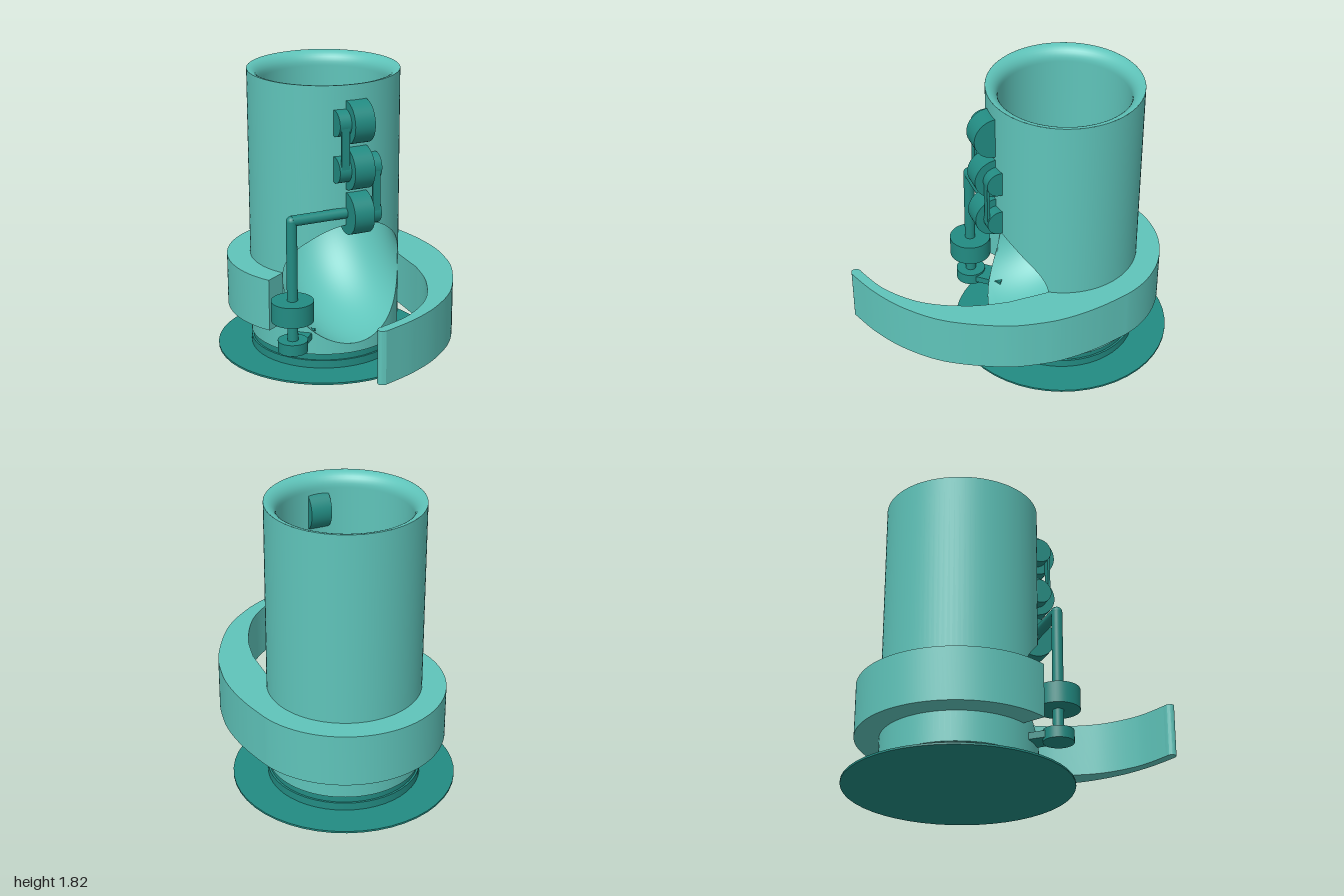
import * as THREE from 'three';
import { toCreasedNormals } from 'three/addons/utils/BufferGeometryUtils.js';
import { ParametricGeometry } from 'three/addons/geometries/ParametricGeometry.js';

const light = new THREE.MeshStandardMaterial({ color: 0x5fc4ba, side: THREE.DoubleSide });
const dark = new THREE.MeshStandardMaterial({ color: 0x228b82 });

const AXIS_Z = -0.315;          // vertical axis of the tube
const R = 0.47, BORE = 0.395;   // outer and bore radius
const TOP = 1.815, BOTTOM = 0.105;
const BEND_Y = 0.955, BEND_Z = 0.08; // pivot of the inner elbow

export function createModel() {
  const model = new THREE.Group();

  const add = (name, geo, mat, x = 0, y = 0, z = 0, parent = model) => {
    const mesh = new THREE.Mesh(geo, mat);
    mesh.name = name;
    mesh.position.set(x, y, z);
    parent.add(mesh);
    return mesh;
  };
  const diskY = (name, r, y0, y1, x, z, mat = dark, parent = model) =>
    add(name, new THREE.CylinderGeometry(r, r, y1 - y0, 48), mat, x, (y0 + y1) / 2, z, parent);
  const diskX = (name, r, x0, x1, y, z, parent = model) =>
    add(name, new THREE.CylinderGeometry(r, r, x1 - x0, 40).rotateZ(Math.PI / 2), dark, (x0 + x1) / 2, y, z, parent);

  // Rim of the front mouth, where the elbow meets the outer wall
  const mouth = (phi) => {
    const x = BORE * Math.cos(phi);
    const rho = BORE * (1 - Math.sin(phi));
    const z = AXIS_Z + Math.sqrt(R * R - x * x);
    const bend = z < BEND_Z ? Math.asin(Math.min(1, (BEND_Z - z) / Math.max(rho, 1e-6))) : 0;
    return { x, z, rho, bend, y: BEND_Y - rho * Math.cos(bend) };
  };

  // Outer wall: back, above the mouth, below the mouth
  const tube = new THREE.Group();
  tube.name = 'tube';
  model.add(tube);
  const edge = Math.asin(BORE / R);
  add('backWall', new ParametricGeometry((u, v, p) => {
    const a = edge + u * (2 * Math.PI - 2 * edge);
    p.set(R * Math.sin(a), BOTTOM + v * (TOP - BOTTOM), AXIS_Z + R * Math.cos(a));
  }, 64, 1), light, 0, 0, 0, tube);
  add('wallAboveMouth', new ParametricGeometry((u, v, p) => {
    const m = mouth(Math.PI * (1 - u));
    p.set(m.x, m.y + v * (TOP - m.y), m.z);
  }, 64, 1), light, 0, 0, 0, tube);
  add('wallBelowMouth', new ParametricGeometry((u, v, p) => {
    const m = mouth(Math.PI * (1 + u));
    p.set(m.x, BOTTOM + v * (m.y - BOTTOM), m.z);
  }, 64, 1), light, 0, 0, 0, tube);

  // Elbow turning from the vertical bore out to the mouth
  add('elbow', new ParametricGeometry((u, v, p) => {
    const m = mouth(u * 2 * Math.PI);
    if (v < 0.05) { // straight outlet
      p.set(m.x, m.y, THREE.MathUtils.lerp(m.z, Math.min(m.z, BEND_Z), v / 0.05));
      return;
    }
    const a = THREE.MathUtils.lerp(m.bend, Math.PI / 2, (v - 0.05) / 0.95);
    p.set(m.x, BEND_Y - m.rho * Math.cos(a), BEND_Z - m.rho * Math.sin(a));
  }, 96, 40), light, 0, 0, 0, tube);

  // Vertical bore with a rounded lip
  const bore = [new THREE.Vector2(BORE, BEND_Y), new THREE.Vector2(BORE, TOP - 0.09)];
  for (let i = 0; i <= 8; i++) {
    const a = (i / 8) * Math.PI / 2;
    bore.push(new THREE.Vector2(R - 0.075 * Math.cos(a), TOP - 0.08 + 0.08 * Math.sin(a)));
  }
  add('boreAndLip', new THREE.LatheGeometry(bore, 72), light, 0, 0, AXIS_Z, tube);

  // Foot: grooved rings and base plate
  add('tubeBottom', new THREE.CircleGeometry(R, 64).rotateX(Math.PI / 2), light, 0, BOTTOM, AXIS_Z, tube);
  diskY('grooveRing', 0.458, 0.055, BOTTOM, 0, AXIS_Z);
  diskY('footRing', R, 0.01, 0.062, 0, AXIS_Z);
  add('basePlate', new THREE.CylinderGeometry(0.685, 0.685, 0.012, 48), dark, 0, 0.006, AXIS_Z);

  // Collar that wraps the tube and sweeps forward into a curved tail
  const pts = (list) => list.map(([x, z]) => new THREE.Vector2(x, -z));
  const collar = new THREE.Shape();
  collar.absarc(0, -AXIS_Z, 0.617, Math.PI + 0.57, 0.3, true);
  collar.splineThru(pts([[0.635, -0.3], [0.655, -0.1], [0.642, 0.08], [0.58, 0.31],
    [0.41, 0.61], [0.21, 0.8], [0, 0.92], [-0.215, 0.997]]));
  collar.splineThru(pts([[-0.245, 0.988], [-0.253, 0.965], [-0.24, 0.942], [-0.21, 0.933]]));
  collar.splineThru(pts([[0, 0.85], [0.2, 0.68], [0.335, 0.43], [0.39, 0.2]]));
  collar.lineTo(0.395, 0.06);
  collar.absarc(0, -AXIS_Z, R - 0.003, -0.573, Math.PI + 0.573, false);
  collar.closePath();
  const collarGeo = new THREE.ExtrudeGeometry(collar, { depth: 0.33, bevelEnabled: false, curveSegments: 40 });
  add('collarWithTail', toCreasedNormals(collarGeo.rotateX(-Math.PI / 2), 0.5), light, 0, 0.29, 0);

  // Wheel train on the front, linked by pulleys and belts
  const train = new THREE.Group();
  train.name = 'wheelTrain';
  model.add(train);
  const WZ = 0.15, wheelY = [1.59, 1.305, 1.023];
  wheelY.forEach((y) => diskX('wheel', 0.131, -0.065, 0.065, y, WZ, train));
  const stadium = (path, r, h) => {
    path.absarc(0, h, r, 0, Math.PI, false);
    path.absarc(0, 0, r, Math.PI, 2 * Math.PI, false);
    path.closePath();
    return path;
  };
  [[0, 1, -0.14, -0.065], [1, 2, 0.065, 0.135]].forEach(([top, low, x0, x1]) => {
    diskX('pulley', 0.08, x0, x1, wheelY[top], WZ, train);
    diskX('pulley', 0.08, x0, x1, wheelY[low], WZ, train);
    const h = wheelY[top] - wheelY[low];
    const belt = stadium(new THREE.Shape(), 0.078, h);
    belt.holes.push(stadium(new THREE.Path(), 0.062, h));
    const geo = new THREE.ExtrudeGeometry(belt, { depth: 0.05, bevelEnabled: false, curveSegments: 20 });
    geo.translate(0, 0, -0.025).rotateY(Math.PI / 2);
    add('belt', geo, dark, (x0 + x1) / 2, wheelY[low], WZ, train);
  });

  // Crank arm and upright shaft with its weight and lower pulley
  const SX = -0.42, SZ = 0.145;
  diskX('crankArm', 0.033, SX, -0.06, 1.025, SZ);
  diskY('shaft', 0.033, 0.2, 1.02, SX, SZ);
  add('crankJoint', new THREE.SphereGeometry(0.033, 20, 12), dark, SX, 1.023, SZ);
  diskY('shaftWeight', 0.13, 0.39, 0.52, SX, SZ);
  diskY('lowerPulley', 0.092, 0.19, 0.262, SX, SZ);

  // Drive belt from the lower pulley into the tube
  const drive = add('driveBelt', new THREE.BoxGeometry(0.14, 0.042, 0.24), dark, SX + 0.075, 0.227, SZ - 0.085);
  drive.rotation.y = Math.atan2(SX, SZ - AXIS_Z);

  return model;
}
